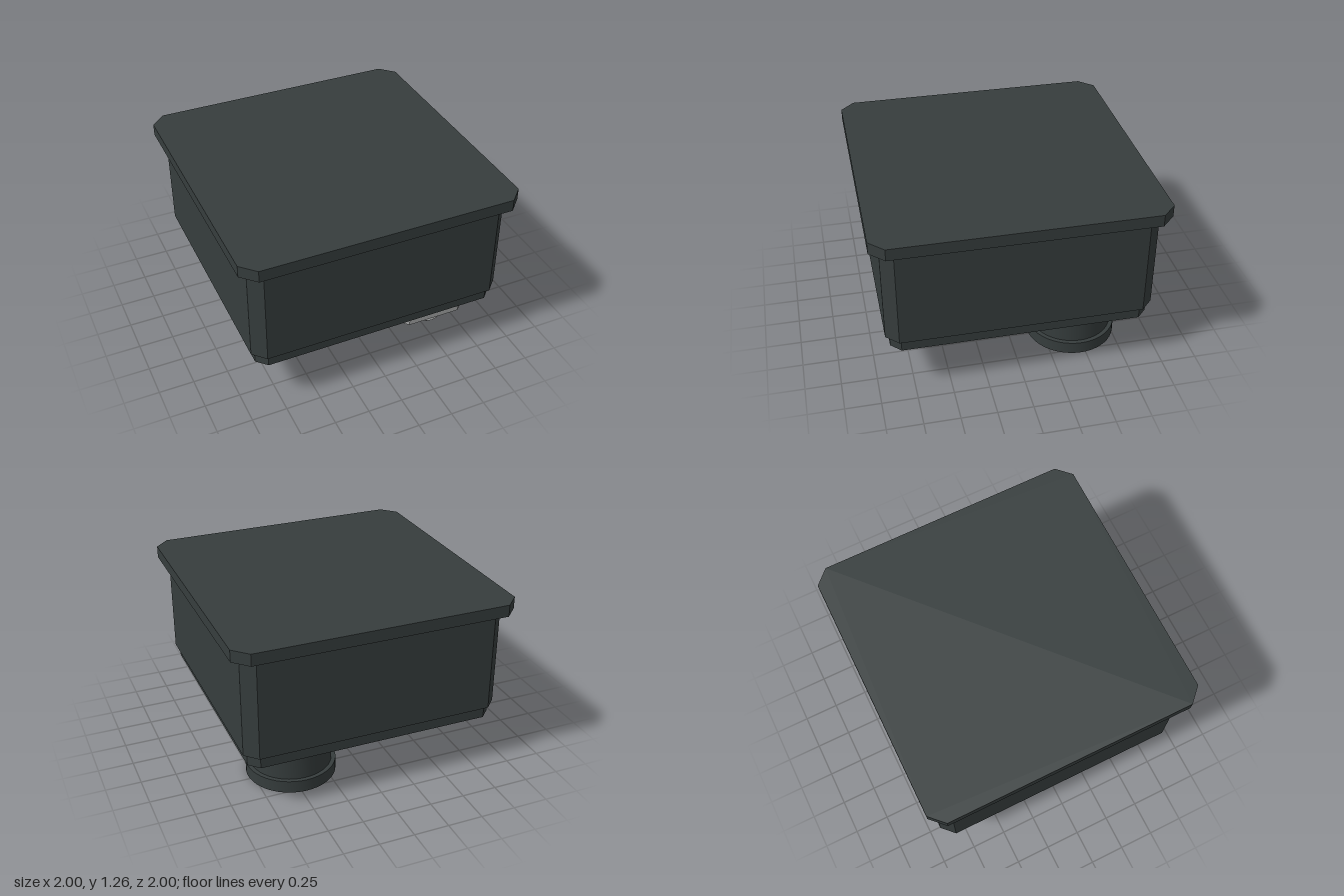
import * as THREE from 'three';
import { toCreasedNormals } from 'three/addons/utils/BufferGeometryUtils.js';

const dark = new THREE.MeshStandardMaterial({ name: 'charcoal', color: 0x363d3d });
const grey = new THREE.MeshStandardMaterial({ name: 'lightGrey', color: 0xa6a8a8 });

// Upright prism with clipped corners, standing on y0 (w, d are half sizes)
function clippedPrism(w, d, cut, y0, y1) {
  const shape = new THREE.Shape([
    [w - cut, -d], [w, -d + cut], [w, d - cut], [w - cut, d],
    [-w + cut, d], [-w, d - cut], [-w, -d + cut], [-w + cut, -d],
  ].map(([x, y]) => new THREE.Vector2(x, y)));
  const geo = new THREE.ExtrudeGeometry(shape, { depth: y1 - y0, bevelEnabled: false });
  return geo.rotateX(-Math.PI / 2).translate(0, y0, 0);
}

// Turned part with crisp edges; the profile runs from the recess, round the rim and up
function turned(profile, segments) {
  const points = profile.map(([r, y]) => new THREE.Vector2(r, y));
  return toCreasedNormals(new THREE.LatheGeometry(points, segments), 0.5);
}

export function createModel() {
  const model = new THREE.Group();
  model.name = 'hangingBox';
  const add = (name, geo, material, x = 0, z = 0, parent = model) => {
    const mesh = new THREE.Mesh(geo, material);
    mesh.name = name;
    mesh.position.set(x, 0, z);
    parent.add(mesh);
  };

  // Main housing
  add('lid', clippedPrism(1, 1, 0.1, 1.175, 1.26), dark);
  add('body', clippedPrism(0.93, 0.93, 0.085, 0.445, 1.175), dark);
  add('base', clippedPrism(0.9, 0.9, 0.07, 0.355, 0.445), dark);

  // Hollow spout with a flange at its mouth
  add('spout', turned([
    [0, 0.3], [0.185, 0.3], [0.185, 0], [0.32, 0], [0.32, 0.09],
    [0.29, 0.09], [0.29, 0.31], [0.245, 0.356],
  ], 48), dark, 0.465, -0.465);

  // Mounting plate with a row of recessed buttons
  add('plate', clippedPrism(0.225, 0.473, 0.03, 0.27, 0.356), grey, 0.45, 0.382);
  const buttons = new THREE.Group();
  buttons.name = 'buttons';
  model.add(buttons);
  const button = turned([
    [0, 0.25], [0.068, 0.25], [0.068, 0.215], [0.088, 0.215],
    [0.1, 0.228], [0.088, 0.271],
  ], 32);
  for (let i = 0; i < 4; i++) add('button', button, grey, 0.45, 0.733 - i * 0.219, buttons);

  // L-shaped field of small hollow pegs
  const pegs = new THREE.Group();
  pegs.name = 'pegs';
  model.add(pegs);
  const peg = turned([
    [0, 0.32], [0.032, 0.32], [0.032, 0.295], [0.047, 0.295],
    [0.051, 0.302], [0.042, 0.356],
  ], 16);
  for (let i = 0; i < 6; i++) {
    for (let j = 0; j < 6; j++) {
      if (i > 2 && j > 2) continue;
      add('peg', peg, grey, -0.79 + i * 0.117, 0.79 - j * 0.117, pegs);
    }
  }
  return model;
}
